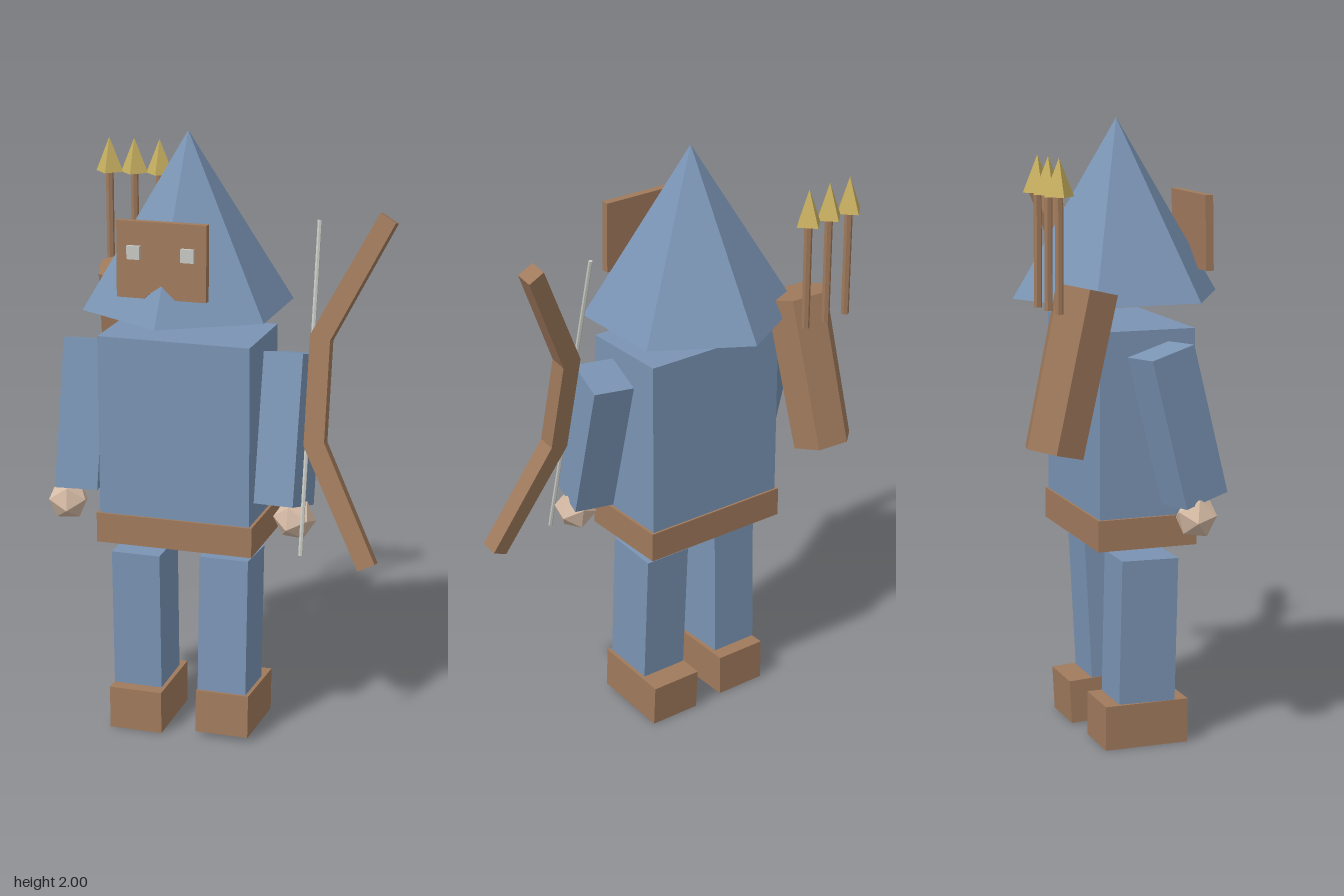
import * as THREE from 'three';

const mat = (name, color) => {
  const m = new THREE.MeshStandardMaterial({ color, flatShading: true });
  m.name = name;
  return m;
};

export function createModel() {
  const cloth = mat('blue cloth', 0x7a94b4);
  const leather = mat('brown leather', 0xa07a5c);
  const gold = mat('gold', 0xc8b060);
  const skin = mat('skin', 0xd6bca6);
  const pale = mat('pale grey', 0xc6c8c2);

  const root = new THREE.Group();
  root.name = 'hoodedArcher';

  const TURN = -0.06; // slight turn shared by the body parts

  function add(name, geometry, material, pos, rot = [0, 0, 0]) {
    const mesh = new THREE.Mesh(geometry, material);
    mesh.name = name;
    mesh.position.set(...pos);
    mesh.rotation.set(rot[0], rot[1], rot[2], 'YXZ');
    root.add(mesh);
    return mesh;
  }
  const box = (w, h, d) => new THREE.BoxGeometry(w, h, d);
  const polygon = (pts) => new THREE.Shape(pts.map(([x, y]) => new THREE.Vector2(x, y)));
  function plate(pts, depth) {
    const g = new THREE.ExtrudeGeometry(polygon(pts), { depth, bevelEnabled: false });
    return g.translate(0, 0, -depth / 2);
  }

  // Torso, belt and hood
  add('torso', box(0.505, 0.595, 0.315), cloth, [-0.11, 1.06, 0.057], [0, TURN, 0]);
  add('belt', box(0.525, 0.1, 0.33), leather, [-0.11, 0.715, 0.057], [0, TURN, 0]);
  add('hood', new THREE.ConeGeometry(0.345, 0.56, 6), cloth, [-0.11, 1.72, 0.043], [0, TURN, 0]);

  // Face mask with a notch in its lower edge, and two eyes
  const mask = add('mask', plate([
    [-0.145, 0.12], [-0.145, -0.12], [-0.055, -0.12], [-0.04, -0.105],
    [0, -0.078], [0.045, -0.12], [0.145, -0.12], [0.145, 0.12],
  ], 0.026), leather, [-0.125, 1.64, 0.305], [-0.02, TURN, 0]);
  for (const side of [-1, 1]) {
    const eye = new THREE.Mesh(box(0.042, 0.042, 0.016), pale);
    eye.name = side > 0 ? 'leftEye' : 'rightEye';
    eye.position.set(side * 0.087, 0.024, 0.019);
    mask.add(eye);
  }

  // Legs and boots, the left one stepping forward
  const steps = [
    { side: 'left', x: 0.037, z: 0.078, tilt: -0.055, bootX: 0.043, bootY: 0.083 },
    { side: 'right', x: -0.258, z: 0.065, tilt: 0.02, bootX: -0.252, bootY: 0.074 },
  ];
  for (const s of steps) {
    add(s.side + 'Leg', box(0.165, 0.47, 0.19), cloth, [s.x, 0.383, s.z], [s.tilt, TURN, 0]);
    add(s.side + 'Boot', box(0.18, 0.145, 0.28), leather, [s.bootX, s.bootY, 0.06],
      [Math.min(s.tilt, 0), TURN, 0]);
  }

  // Arms swung forward and slightly out, with faceted hands
  const arms = [
    { side: 'left', x: 0.237, z: 0.055, yaw: -0.24, roll: 0.05, hand: [0.27, 0.79, 0.175] },
    { side: 'right', x: -0.452, z: 0.045, yaw: 0.19, roll: -0.05, hand: [-0.495, 0.785, 0.15] },
  ];
  for (const a of arms) {
    const g = box(0.137, 0.485, 0.16).translate(0, -0.2425, 0);
    add(a.side + 'Arm', g, cloth, [a.x, 1.305, a.z], [-0.24, a.yaw, a.roll]);
    add(a.side + 'Hand', new THREE.IcosahedronGeometry(0.07, 0), skin, a.hand, [-0.24, a.yaw, 0]);
  }

  // Bow: a bent stave and a straight string, leaning back
  const LEAN = -0.233;
  add('bow', plate([
    [0.505, 0.565], [0.305, 0.175], [0.305, -0.175], [0.5, -0.555],
    [0.553, -0.53], [0.37, -0.16], [0.37, 0.16], [0.555, 0.535],
  ], 0.057), leather, [0, 1.213, 0.153], [LEAN, 0, 0]);
  add('bowString', new THREE.CylinderGeometry(0.007, 0.007, 1.06, 6), pale,
    [0.308, 1.215, 0.143], [LEAN, 0, 0]);

  // Quiver on the back
  const quiver = new THREE.CylinderGeometry(0.105, 0.1, 0.51, 6).rotateY(0.2);
  add('quiver', quiver, leather, [-0.388, 1.25, -0.228], [0.235, 0, -0.045]);

  // Arrows
  [-0.471, -0.385, -0.298].forEach((x, i) => {
    add('arrowShaft' + (i + 1), new THREE.CylinderGeometry(0.013, 0.013, 0.36, 6), leather,
      [x, 1.62, -0.298], [0, TURN, 0]);
    add('arrowHead' + (i + 1), new THREE.ConeGeometry(0.047, 0.115, 4), gold,
      [x, 1.848, -0.298], [0, TURN, 0]);
  });

  return root;
}
